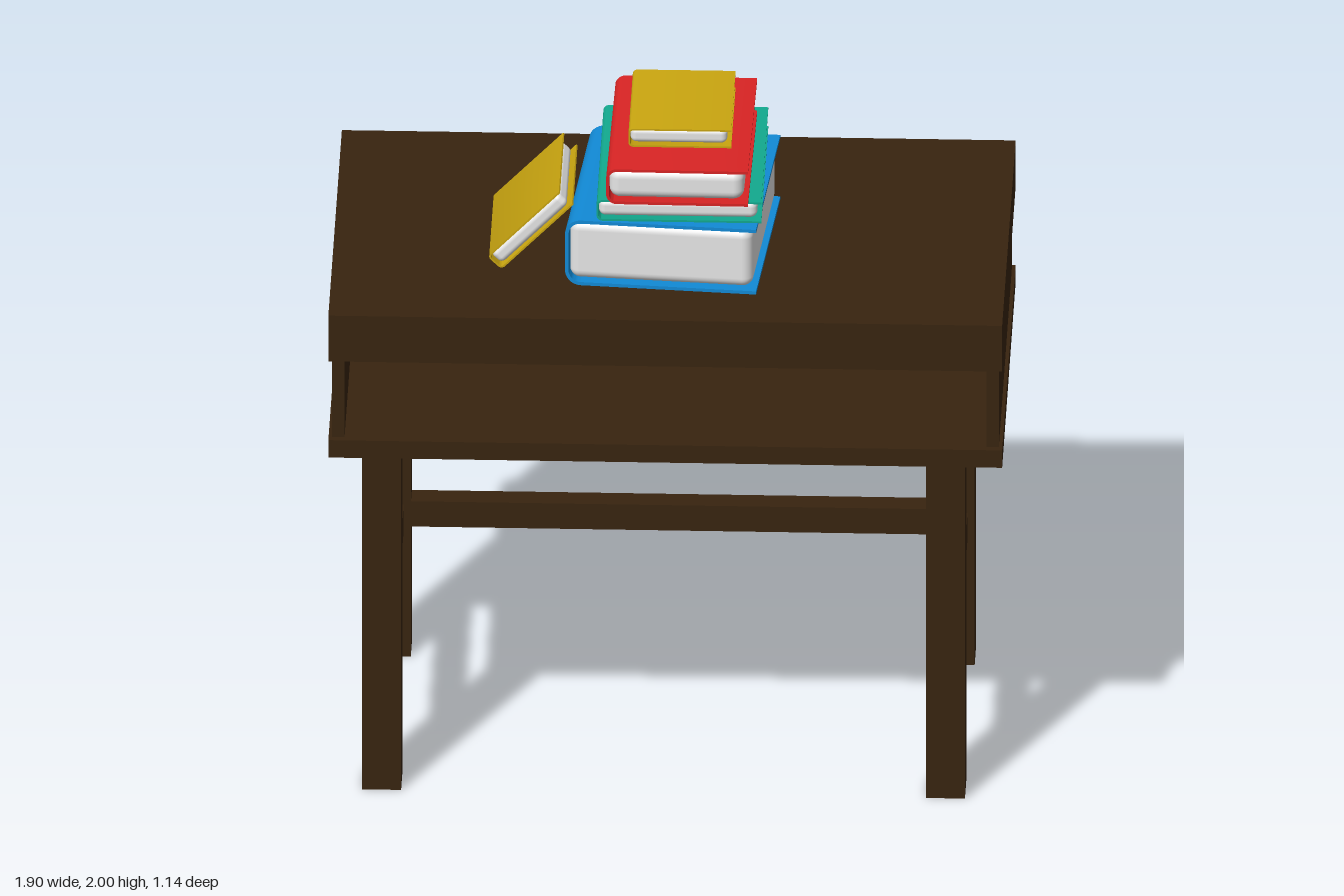
import * as THREE from 'three';
import { RoundedBoxGeometry } from 'three/addons/geometries/RoundedBoxGeometry.js';
import { toCreasedNormals } from 'three/addons/utils/BufferGeometryUtils.js';

const mat = (name, color) => new THREE.MeshStandardMaterial({ name, color });

// Box given by its minimum and maximum corners
function box(name, material, [x0, y0, z0], [x1, y1, z1]) {
  const mesh = new THREE.Mesh(new THREE.BoxGeometry(x1 - x0, y1 - y0, z1 - z0), material);
  mesh.position.set((x0 + x1) / 2, (y0 + y1) / 2, (z0 + z1) / 2);
  mesh.name = name;
  return mesh;
}

// Closed book lying flat and centred on its origin, with the spine towards -x
function book(name, cover, paper, { w, h, d, t, r, pos, turn = 0, lean = 0 }) {
  const group = new THREE.Group();
  group.name = name;

  // C-shaped cover: two boards joined by a spine with rounded corners
  const L = -w / 2, R = w / 2, T = h / 2, B = -h / 2, ri = r - t;
  const s = new THREE.Shape();
  s.moveTo(R, T);
  s.lineTo(L + r, T);
  s.absarc(L + r, T - r, r, Math.PI / 2, Math.PI, false);
  s.lineTo(L, B + r);
  s.absarc(L + r, B + r, r, Math.PI, Math.PI * 1.5, false);
  s.lineTo(R, B);
  s.lineTo(R, B + t);
  s.lineTo(L + r, B + t);
  s.absarc(L + r, B + r, ri, Math.PI * 1.5, Math.PI, true);
  s.lineTo(L + t, T - r);
  s.absarc(L + r, T - r, ri, Math.PI, Math.PI / 2, true);
  s.lineTo(R, T - t);
  const geo = new THREE.ExtrudeGeometry(s, { depth: d, bevelEnabled: false, curveSegments: 6 });
  geo.translate(0, 0, -d / 2);
  const shell = new THREE.Mesh(toCreasedNormals(geo, 0.6), cover);
  shell.name = 'cover';

  // Page block with softened edges
  const inset = 0.012;
  const pages = new THREE.Mesh(
    new RoundedBoxGeometry(w - t - inset, h - 2 * t, d - 2 * inset, 4, Math.min(0.03, h * 0.3)), paper);
  pages.position.x = (t - inset) / 2;
  pages.name = 'pages';

  group.add(shell, pages);
  group.position.set(...pos);
  group.rotation.set(0, turn, lean);
  return group;
}

export function createModel() {
  const model = new THREE.Group();
  model.name = 'deskWithBooks';
  const wood = mat('dark wood', 0x38240f);
  const paper = mat('paper', 0xe6e6e6);
  const blue = mat('blue cover', 0x118ad6);
  const teal = mat('teal cover', 0x12a98e);
  const red = mat('red cover', 0xd92424);
  const gold = mat('gold cover', 0xc9a510);

  // Desk top and open-fronted compartment
  const desk = new THREE.Group();
  desk.name = 'desk';
  desk.add(
    box('deskTop', wood, [-0.95, 1.405, -0.57], [0.95, 1.55, 0.57]),
    box('compartmentFloor', wood, [-0.95, 1.1, -0.57], [0.95, 1.155, 0.57]),
    box('compartmentBack', wood, [-0.905, 1.155, -0.55], [0.905, 1.405, -0.515]),
    box('leftPanel', wood, [0.905, 1.155, -0.55], [0.94, 1.405, 0.55]),
    box('rightPanel', wood, [-0.94, 1.155, -0.55], [-0.905, 1.405, 0.55]));

  // Legs and stretchers
  for (const x of [-0.858, 0.732]) {
    for (const z of [-0.455, 0.365]) {
      desk.add(box('leg', wood, [x, 0, z], [x + 0.11, 1.1, z + 0.11]));
    }
    desk.add(box('sideStretcher', wood, [x + 0.02, 0.402, -0.345], [x + 0.09, 0.482, 0.365]));
  }
  desk.add(box('backStretcher', wood, [-0.748, 0.402, -0.435], [0.732, 0.482, -0.365]));
  model.add(desk);

  // Stack of books
  model.add(
    book('blueBook', blue, paper,
      { w: 0.542, h: 0.205, d: 0.588, t: 0.01, r: 0.045, pos: [0.005, 1.6575, 0.095], turn: -0.083 }),
    book('tealBook', teal, paper,
      { w: 0.465, h: 0.066, d: 0.585, t: 0.006, r: 0.018, pos: [0.032, 1.796, 0.082] }),
    book('redBook', red, paper,
      { w: 0.4, h: 0.11, d: 0.578, t: 0.008, r: 0.03, pos: [0.031, 1.886, 0.115], turn: -0.012 }),
    book('goldBook', gold, paper,
      { w: 0.29, h: 0.057, d: 0.365, t: 0.005, r: 0.014, pos: [0.031, 1.9715, 0.083] }));

  // Small book leaning against the stack
  model.add(book('leaningBook', gold, paper,
    { w: 0.29, h: 0.057, d: 0.365, t: 0.005, r: 0.014, pos: [-0.391, 1.672, 0.083], lean: 0.8 }));
  return model;
}
